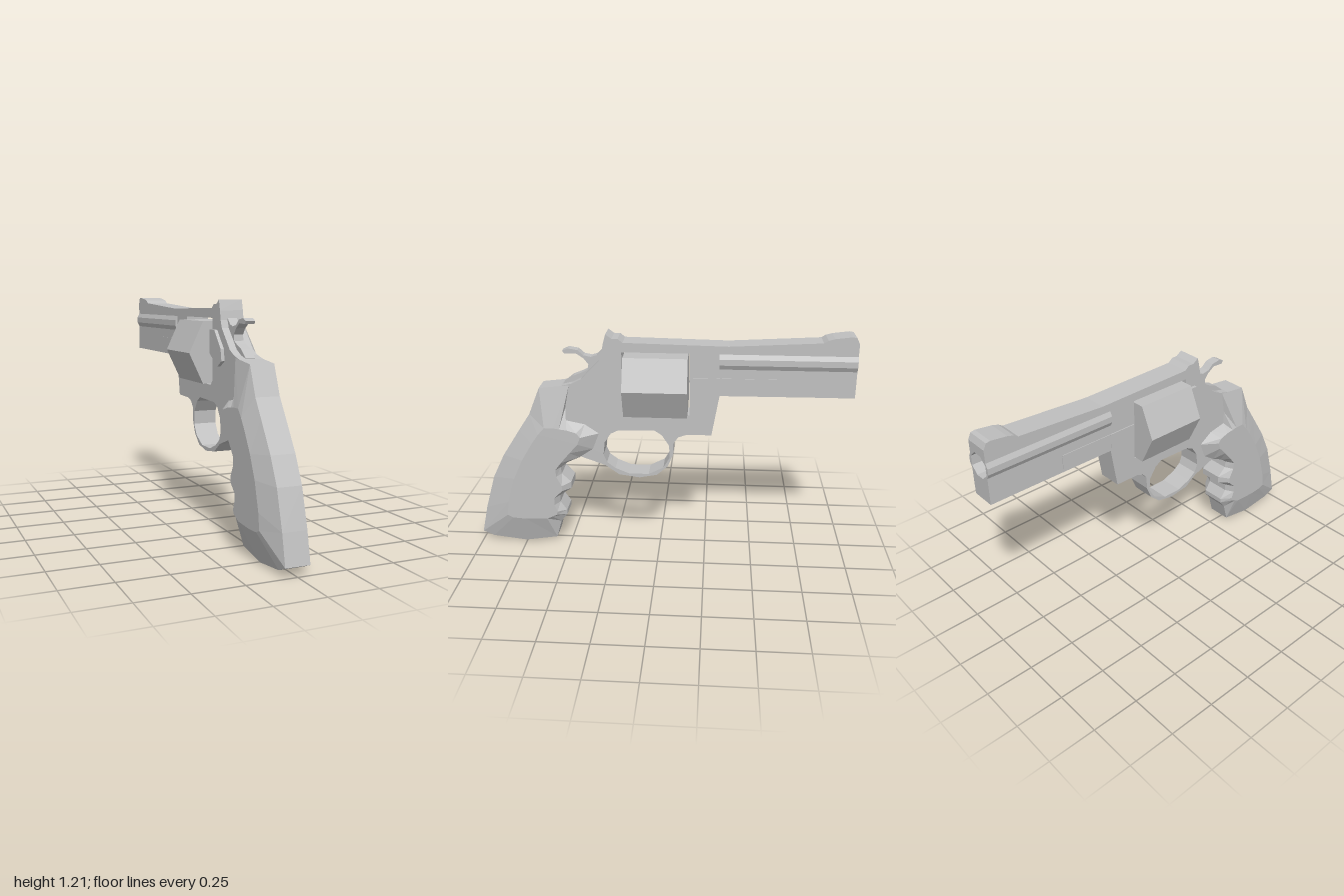
import * as THREE from 'three';

const gunmetal = new THREE.MeshStandardMaterial({ color: 0xc0c0c0, flatShading: true });
gunmetal.name = 'grey';

const HALF = 0.0625;
const BORE_Y = 1.067;
const toPoints = list => list.map(([a, b]) => new THREE.Vector2(a, b));

export function createModel() {
  const model = new THREE.Group();
  model.name = 'revolver';

  const add = (name, geometry) => {
    const mesh = new THREE.Mesh(geometry, gunmetal);
    mesh.name = name;
    model.add(mesh);
    return mesh;
  };
  const makeShape = (outline, holes) => {
    const shape = new THREE.Shape(toPoints(outline));
    holes.forEach(h => shape.holes.push(new THREE.Path(toPoints(h))));
    return shape;
  };
  // Side profile in (z, y), extruded across x
  const addSide = (name, outline, half, holes = []) => {
    const g = new THREE.ExtrudeGeometry(makeShape(outline, holes), { depth: half * 2, bevelEnabled: false });
    return add(name, g.translate(0, 0, -half).rotateY(-Math.PI / 2));
  };
  // Front profile in (x, y), extruded from z0 to z1
  const addFront = (name, outline, z0, z1, holes = []) => {
    const g = new THREE.ExtrudeGeometry(makeShape(outline, holes), { depth: z1 - z0, bevelEnabled: false });
    return add(name, g.translate(0, 0, z0));
  };
  const addBox = (name, x0, x1, y0, y1, z0, z1) => add(name,
    new THREE.BoxGeometry(x1 - x0, y1 - y0, z1 - z0)
      .translate((x0 + x1) / 2, (y0 + y1) / 2, (z0 + z1) / 2));

  // Frame, barrel and trigger guard, pierced by the cylinder window and finger hole
  const frame = [
    [0.278, 1.2], [0.246, 1.178], [0.215, 1.178], [0.19, 1.158], [-0.35, 1.148], [-0.82, 1.174],
    [-0.82, 0.888], [-0.31, 0.885], [-0.273, 0.666], [-0.14, 0.664], [-0.1, 0.65], [-0.075, 0.62],
    [-0.072, 0.55], [-0.043, 0.48], [0.016, 0.428], [0.11, 0.41], [0.22, 0.425], [0.29, 0.475],
    [0.33, 0.49], [0.43, 0.525], [0.52, 0.65], [0.55, 0.85], [0.52, 0.92], [0.46, 0.935],
    [0.41, 0.96], [0.363, 1.01], [0.315, 1.06], [0.3, 1.1], [0.292, 1.147],
  ];
  const cylinderWindow = [[0.197, 0.79], [0.17, 0.765], [-0.155, 0.775], [-0.155, 1.108], [0.197, 1.108]];
  const guardHole = [
    [0.262, 0.66], [0.295, 0.61], [0.303, 0.54], [0.285, 0.495], [0.24, 0.462], [0.166, 0.432],
    [0.06, 0.432], [-0.02, 0.473], [-0.053, 0.53], [-0.05, 0.6], [-0.01, 0.66], [0.03, 0.685], [0.22, 0.681],
  ];
  addSide('frame', frame, HALF, [cylinderWindow, guardHole]);

  // Muzzle section with open bore
  const rightEdge = [[HALF, 0.888], [HALF, 1.028], [0.075, 1.052], [0.075, 1.083], [HALF, 1.107], [HALF, 1.174]];
  const mirrored = rightEdge.map(([x, y]) => [-x, y]).reverse();
  const bore = [];
  for (let i = 0; i < 8; i++) {
    const a = (i + 0.5) * Math.PI / 4;
    bore.push([0.064 * Math.cos(a), BORE_Y + 0.064 * Math.sin(a)]);
  }
  addFront('muzzle', [...rightEdge, ...mirrored], -1, -0.82, [bore]);
  const bulge = rightEdge.slice(1, 5);
  addFront('barrelTube', [...bulge, ...bulge.map(([x, y]) => [-x, y]).reverse()], -0.82, -0.305);
  addSide('frontSight', [[-0.82, 1.172], [-0.845, 1.188], [-0.877, 1.197], [-0.963, 1.208],
    [-0.985, 1.204], [-1, 1.172]], HALF);

  // Ejector rod and its raised panel under the barrel
  addBox('ejectorRod', -0.068, 0.068, 0.905, 0.98, -0.31, -0.16);
  addBox('ejectorPanel', -0.066, 0.066, 0.905, 0.98, -0.6, -0.31);

  // Six-sided cylinder
  addFront('cylinder', [[0.185, 0.932], [0.11, 1.092], [-0.11, 1.092], [-0.185, 0.932],
    [-0.11, 0.774], [0.11, 0.774]], -0.145, 0.187);

  // Hammer with curled spur
  addSide('hammer', [
    [0.51, 1.1], [0.48, 1.113], [0.43, 1.105], [0.4, 1.078], [0.36, 1.07], [0.33, 1.08], [0.3, 1.11],
    [0.25, 1.05], [0.3, 0.95], [0.5, 0.9], [0.51, 0.925], [0.46, 0.965], [0.41, 0.985], [0.38, 1.0],
    [0.375, 1.03], [0.4, 1.062], [0.44, 1.088], [0.5, 1.085],
  ], 0.025);

  // Cylinder release latch on one side
  addSide('releaseLatch', [[0.2, 0.93], [0.3, 0.87], [0.35, 0.9], [0.34, 0.96], [0.26, 1.05], [0.2, 1.05]], 0.009)
    .position.x = -0.071;

  add('grip', gripGeometry());
  return model;
}

// Grip: an outline at the frame width, bevelled out to a broader inner outline on each side
function gripGeometry() {
  // outer z, outer y, inner z, inner y
  const section = [
    [0.476, 0.925, 0.56, 0.7], [0.5, 0.8, 0.53, 0.695], [0.5, 0.73, 0.49, 0.69], [0.4, 0.71, 0.44, 0.675],
    [0.325, 0.66, 0.42, 0.65], [0.36, 0.57, 0.435, 0.61], [0.433, 0.52, 0.48, 0.56], [0.497, 0.49, 0.53, 0.5],
    [0.54, 0.457, 0.56, 0.46], [0.535, 0.42, 0.558, 0.42], [0.485, 0.372, 0.53, 0.365], [0.485, 0.335, 0.53, 0.335],
    [0.55, 0.29, 0.575, 0.29], [0.55, 0.25, 0.575, 0.25], [0.515, 0.2, 0.56, 0.21], [0.515, 0.174, 0.565, 0.19],
    [0.55, 0.13, 0.59, 0.178], [0.578, 0.03, 0.62, 0.165], [0.754, 0.002, 0.74, 0.16], [0.94, 0.024, 0.81, 0.165],
    [1, 0.05, 0.84, 0.18], [0.968, 0.2, 0.83, 0.26], [0.914, 0.388, 0.79, 0.4], [0.85, 0.52, 0.74, 0.51],
    [0.754, 0.67, 0.68, 0.61], [0.695, 0.76, 0.645, 0.66], [0.636, 0.906, 0.61, 0.7],
  ];
  const n = section.length;
  const outer = section.map(([z, y]) => [z, y]);
  const inner = section.map(([, , z, y]) => [z, y]);
  const rings = [[-0.11, inner], [-HALF, outer], [HALF, outer], [0.11, inner]];
  const positions = rings.flatMap(([x, ring]) => ring.flatMap(([z, y]) => [x, y, z]));
  const index = [];
  for (let k = 0; k < 3; k++) {
    for (let i = 0; i < n; i++) {
      const j = (i + 1) % n;
      const a = k * n + i, b = k * n + j, c = a + n, d = b + n;
      index.push(a, d, b, a, c, d);
    }
  }
  for (const [a, b, c] of THREE.ShapeUtils.triangulateShape(toPoints(inner), [])) {
    index.push(a, b, c, 3 * n + a, 3 * n + c, 3 * n + b);
  }
  const geometry = new THREE.BufferGeometry();
  geometry.setAttribute('position', new THREE.Float32BufferAttribute(positions, 3));
  geometry.setIndex(index);
  const flat = geometry.toNonIndexed();
  flat.computeVertexNormals();
  return flat;
}
